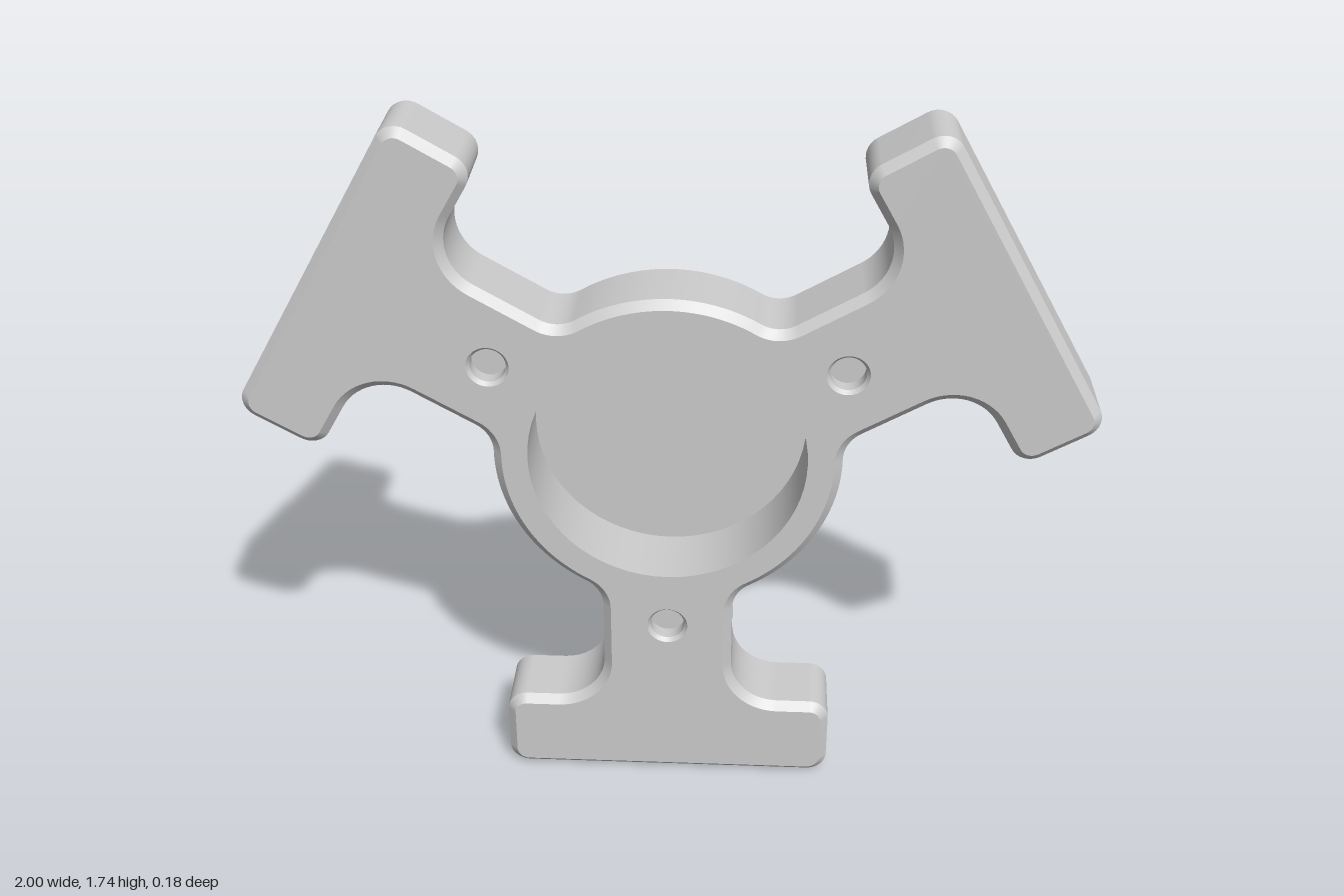
import * as THREE from 'three';

const FRONT = 0.09, BACK = -0.09, CHAMFER = 0.02;
const CENTER_Y = 0.937;           // hub centre height, also the arm length
const HUB_R = 0.412, POCKET_R = 0.33;
const HOLE_R = 0.05, HOLE_DIST = 0.477;
const ARM_STEP = (2 * Math.PI) / 3;

const material = new THREE.MeshStandardMaterial({ color: 0xcccccc, side: THREE.DoubleSide });

// Arcs of the whole outline, counter-clockwise; sign +1 is convex, -1 concave
function outlineArcs() {
  const stem = 0.16, hubFillet = 0.08, footFillet = 0.12, corner = 0.05;
  const footHalf = 0.412, footTop = -CENTER_Y + 0.22;
  const fx = stem + hubFillet;
  const fy = -Math.sqrt((HUB_R + hubFillet) ** 2 - fx * fx);
  const hubStart = Math.atan2(fy, fx);
  const P = Math.PI;
  // right half of the arm that points down
  const right = [
    { x: footHalf - corner, y: -CENTER_Y + corner, r: corner, a: -P / 2, b: 0, sign: 1, n: 8 },
    { x: footHalf - corner, y: footTop - corner, r: corner, a: 0, b: P / 2, sign: 1, n: 8 },
    { x: stem + footFillet, y: footTop + footFillet, r: footFillet, a: -P / 2, b: -P, sign: -1, n: 14 },
    { x: fx, y: fy, r: hubFillet, a: P, b: Math.atan2(-fy, -fx), sign: -1, n: 10 },
  ];
  const left = right.map((c) => ({ ...c, x: -c.x, a: P - c.b, b: P - c.a })).reverse();
  const hub = { x: 0, y: 0, r: HUB_R, a: hubStart, b: -P - hubStart + ARM_STEP, sign: 1, n: 24 };
  return [...left, ...right, hub];
}

// Outline points moved inward by the given distance
function outline(inset) {
  const points = [];
  for (let arm = 0; arm < 3; arm++) {
    for (const c of outlineArcs()) {
      const r = c.r - c.sign * inset;
      // the hub arc shares its ends with the neighbouring fillets
      const skip = c.x === 0 && c.y === 0 ? 1 : 0;
      for (let i = skip; i <= c.n - skip; i++) {
        const t = c.a + ((c.b - c.a) * i) / c.n;
        points.push(new THREE.Vector2(c.x + r * Math.cos(t), c.y + r * Math.sin(t))
          .rotateAround(new THREE.Vector2(), arm * ARM_STEP));
      }
    }
  }
  return points;
}

// Smooth band between two matching loops
function band(loopA, zA, loopB, zB) {
  const n = loopA.length, positions = [], index = [];
  loopA.forEach((p) => positions.push(p.x, p.y, zA));
  loopB.forEach((p) => positions.push(p.x, p.y, zB));
  for (let i = 0; i < n; i++) {
    const j = (i + 1) % n;
    index.push(i, j, n + j, i, n + j, n + i);
  }
  const g = new THREE.BufferGeometry();
  g.setAttribute('position', new THREE.Float32BufferAttribute(positions, 3));
  g.setIndex(index);
  g.computeVertexNormals();
  return g;
}

function add(parent, name, geometry) {
  const mesh = new THREE.Mesh(geometry, material);
  mesh.name = name;
  parent.add(mesh);
  return mesh;
}

// Open tube along z
function tube(rFront, rBack, zFront, zBack) {
  return new THREE.CylinderGeometry(rFront, rBack, zFront - zBack, 64, 1, true)
    .rotateX(Math.PI / 2).translate(0, 0, (zFront + zBack) / 2);
}

export function createModel() {
  const model = new THREE.Group();
  model.name = 'threeArmedShell';
  const body = new THREE.Group();
  body.name = 'body';
  body.position.y = CENTER_Y;
  model.add(body);

  // Outer wall and chamfer, open at the back
  const outer = outline(0), inner = outline(CHAMFER);
  add(body, 'outerWall', band(outer, BACK, outer, FRONT - CHAMFER));
  add(body, 'frontChamfer', band(outer, FRONT - CHAMFER, inner, FRONT));

  // Front plate with the pocket and three small holes cut out
  const plate = new THREE.Shape(inner);
  const cut = (x, y, r) => plate.holes.push(new THREE.Path().absarc(x, y, r, 0, Math.PI * 2, true));
  cut(0, 0, POCKET_R);
  const holeCenters = [0, 1, 2].map((i) =>
    new THREE.Vector2(0, -HOLE_DIST).rotateAround(new THREE.Vector2(), i * ARM_STEP));
  holeCenters.forEach((p) => cut(p.x, p.y, HOLE_R));
  add(body, 'frontPlate', new THREE.ShapeGeometry(plate, 32).translate(0, 0, FRONT));

  // Central pocket reaching the back plane
  add(body, 'pocketWall', tube(POCKET_R, POCKET_R, FRONT, BACK));
  add(body, 'pocketFloor', new THREE.CircleGeometry(POCKET_R, 64).translate(0, 0, BACK));

  // Shallow blind holes with a small countersink
  holeCenters.forEach((p) => {
    const hole = new THREE.Group();
    hole.name = 'blindHole';
    hole.position.set(p.x, p.y, 0);
    const lip = FRONT - 0.01, floor = FRONT - 0.045, r = HOLE_R - 0.008;
    add(hole, 'holeChamfer', tube(HOLE_R, r, FRONT, lip));
    add(hole, 'holeWall', tube(r, r, lip, floor));
    add(hole, 'holeFloor', new THREE.CircleGeometry(r, 64).translate(0, 0, floor));
    body.add(hole);
  });

  return model;
}
